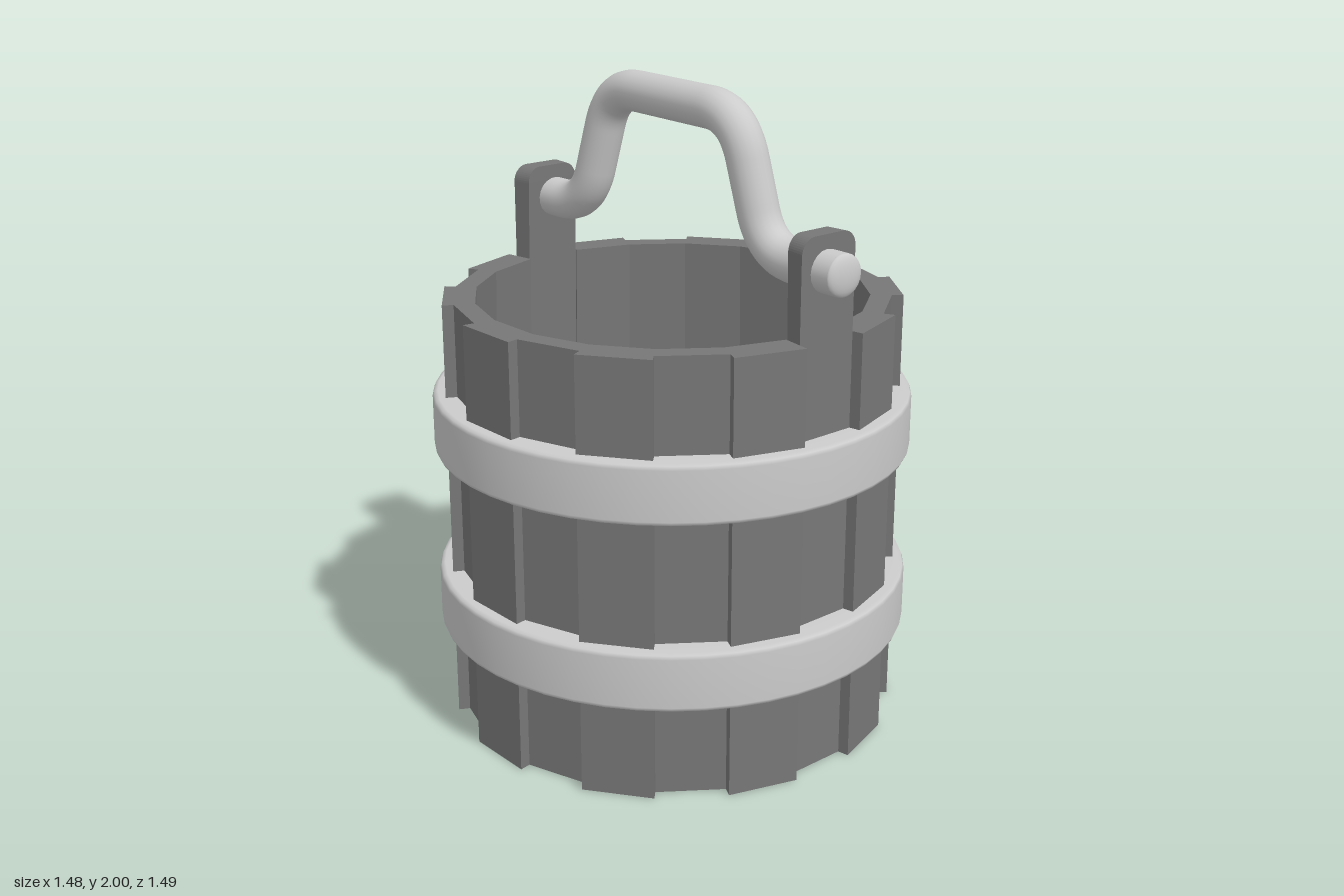
import * as THREE from 'three';

const wood = new THREE.MeshStandardMaterial({ color: 0x777777 });
const metal = new THREE.MeshStandardMaterial({ color: 0xcccccc });

const STAVES = 20;
const STEP = (Math.PI * 2) / STAVES;
const TWIST = THREE.MathUtils.degToRad(3.5);
const INNER = 0.598; // distance from the axis to a stave's inner face

function addMesh(parent, name, geometry, material) {
  const mesh = new THREE.Mesh(geometry, material);
  mesh.name = name;
  parent.add(mesh);
  return mesh;
}

// Upright wedge-shaped board; `corner` rounds its top corners
function staveGeometry(outer, height, corner) {
  const w = outer * Math.tan(STEP / 2);
  const s = new THREE.Shape();
  s.moveTo(-w, 0);
  s.lineTo(w, 0);
  if (corner > 0) {
    s.lineTo(w, height - corner);
    s.absarc(w - corner, height - corner, corner, 0, Math.PI / 2, false);
    s.absarc(corner - w, height - corner, corner, Math.PI / 2, Math.PI, false);
  } else {
    s.lineTo(w, height);
    s.lineTo(-w, height);
  }
  s.closePath();
  const g = new THREE.ExtrudeGeometry(s, { depth: outer - INNER, bevelEnabled: false, curveSegments: 6 });
  g.translate(0, 0, INNER);
  // Narrow towards the axis, and chamfer the inner bottom edge
  const p = g.attributes.position;
  for (let i = 0; i < p.count; i++) {
    let z = p.getZ(i);
    if (p.getY(i) < 0.001 && z < INNER + 0.001) z += 0.035;
    p.setX(i, (p.getX(i) * z) / outer);
    p.setZ(i, z);
  }
  g.computeVertexNormals();
  return g;
}

// Flat band with softly rounded edges
function hoopGeometry(y0, y1) {
  const inner = 0.655, outer = 0.741, b = 0.016;
  const profile = [
    [inner, y0], [outer - b, y0], [outer - b * 0.3, y0 + b * 0.3], [outer, y0 + b],
    [outer, y1 - b], [outer - b * 0.3, y1 - b * 0.3], [outer - b, y1], [inner, y1],
  ].map(([r, y]) => new THREE.Vector2(r, y));
  return new THREE.LatheGeometry(profile, 48);
}

// Straight runs joined by rounded corners
function roundedPath(points, radius) {
  const path = new THREE.CurvePath();
  let from = points[0];
  for (let i = 1; i < points.length - 1; i++) {
    const c = points[i];
    const toward = (q) => c.clone().add(q.clone().sub(c).setLength(radius));
    const a = toward(points[i - 1]);
    const b = toward(points[i + 1]);
    path.add(new THREE.LineCurve3(from, a));
    path.add(new THREE.QuadraticBezierCurve3(a, c, b));
    from = b;
  }
  path.add(new THREE.LineCurve3(from, points[points.length - 1]));
  return path;
}

export function createModel() {
  const model = new THREE.Group();
  model.name = 'bucket';

  // Staves alternate in thickness; two opposite ones rise as handle lugs
  const body = new THREE.Group();
  body.name = 'staves';
  body.rotation.y = TWIST;
  model.add(body);
  const thin = staveGeometry(0.662, 1.35, 0);
  const thick = staveGeometry(0.697, 1.35, 0);
  const lug = staveGeometry(0.662, 1.65, 0.05);
  for (let i = 0; i < STAVES; i++) {
    const isLug = i % (STAVES / 2) === 0;
    const geometry = isLug ? lug : i % 2 ? thick : thin;
    addMesh(body, isLug ? 'lugStave' : 'stave', geometry, wood).rotation.y = i * STEP;
  }

  // Floor set just above the chamfered bottom rim
  const floor = addMesh(body, 'floor', new THREE.CylinderGeometry(0.612, 0.612, 0.05, 40), wood);
  floor.position.y = 0.055;

  // Hoops
  addMesh(model, 'lowerHoop', hoopGeometry(0.3, 0.485), metal);
  addMesh(model, 'upperHoop', hoopGeometry(0.875, 1.06), metal);

  // Bent handle running through both lugs
  const handle = new THREE.Group();
  handle.name = 'handle';
  model.add(handle);
  const R = 0.063;
  const path = roundedPath([
    new THREE.Vector3(0.037, 1.545, 0.725),
    new THREE.Vector3(0.022, 1.545, 0.42),
    new THREE.Vector3(0.0, 1.937, 0.31),
    new THREE.Vector3(0.008, 1.937, -0.31),
    new THREE.Vector3(-0.018, 1.545, -0.42),
    new THREE.Vector3(-0.03, 1.545, -0.7),
  ], 0.13);
  addMesh(handle, 'handleBar', new THREE.TubeGeometry(path, 110, R, 20, false), metal);

  // Softly domed bar ends
  for (const t of [0, 1]) {
    const end = addMesh(handle, 'handleEnd', new THREE.SphereGeometry(R, 20, 12), metal);
    end.position.copy(path.getPoint(t));
    end.scale.z = 0.33;
  }
  return model;
}
